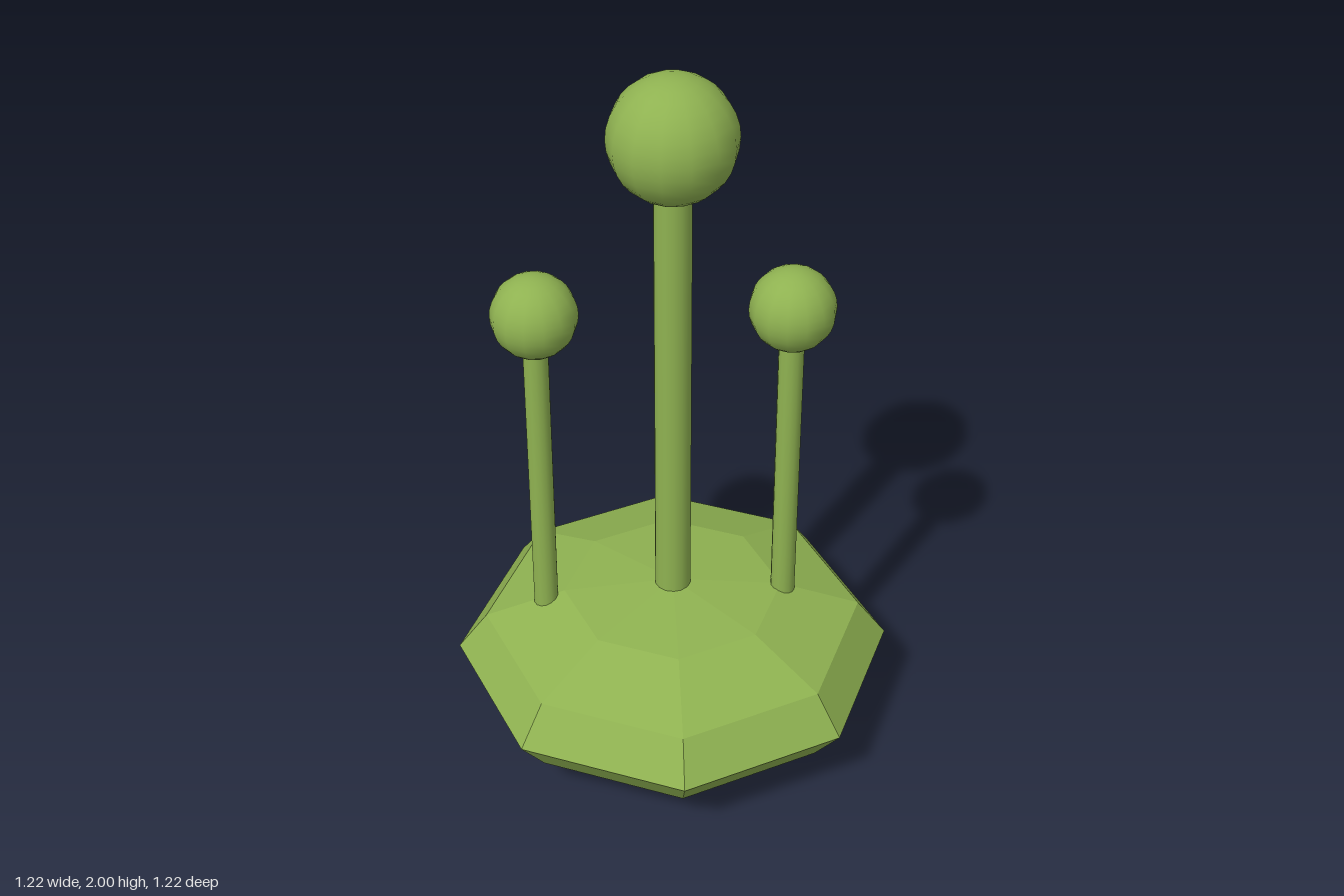
import * as THREE from 'three';

const COLOR = 0x8fb251;

export function createModel() {
  const model = new THREE.Group();
  const smooth = new THREE.MeshStandardMaterial({ color: COLOR });
  const faceted = new THREE.MeshStandardMaterial({ color: COLOR, flatShading: true });

  function add(name, geometry, material, x, y) {
    const mesh = new THREE.Mesh(geometry, material);
    mesh.name = name;
    mesh.position.set(x, y, 0);
    model.add(mesh);
    return mesh;
  }

  // Squashed, faceted base
  const base = new THREE.SphereGeometry(0.61, 8, 6);
  base.scale(1, 0.221 / 0.61, 1);
  add('base', base, faceted, 0, 0.221);

  // Ball-topped stalks: x, ball height, ball radius, stem radius
  const stalks = [
    ['center', 0, 1.833, 0.167, 0.05],
    ['left', 0.31, 1.333, 0.115, 0.034],
    ['right', -0.357, 1.333, 0.115, 0.034],
  ];
  const foot = 0.3; // stems start inside the base
  for (const [side, x, ballY, ballR, stemR] of stalks) {
    const stem = new THREE.CylinderGeometry(stemR, stemR, ballY - foot, 14);
    add(side + 'Stem', stem, smooth, x, (ballY + foot) / 2);
    add(side + 'Ball', new THREE.SphereGeometry(ballR, 14, 16), smooth, x, ballY);
  }
  return model;
}
